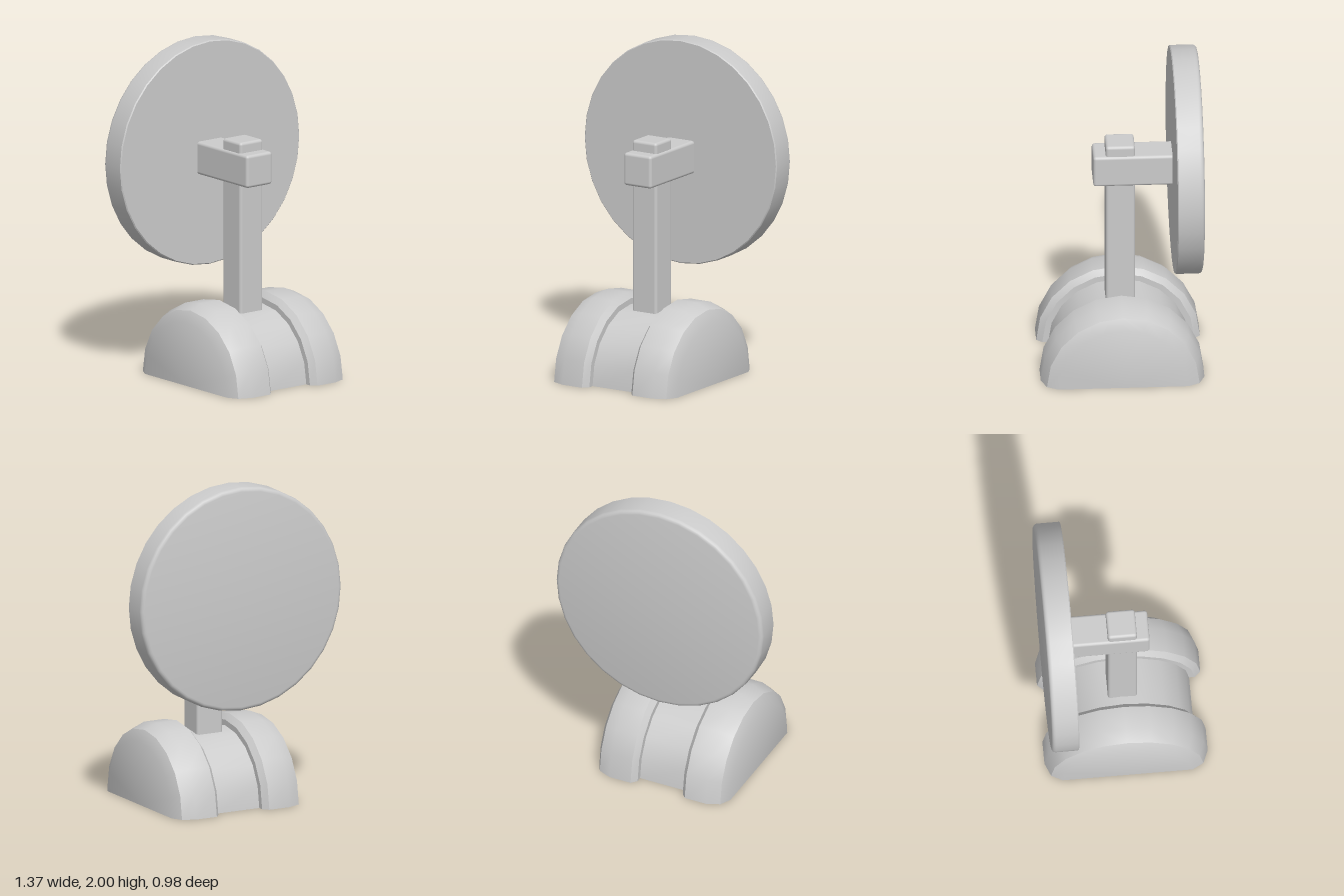
import * as THREE from 'three';
import { toCreasedNormals } from 'three/addons/utils/BufferGeometryUtils.js';
import { RoundedBoxGeometry } from 'three/addons/geometries/RoundedBoxGeometry.js';

const grey = new THREE.MeshStandardMaterial({ color: 0xcccccc });

function part(name, geometry, x = 0, y = 0, z = 0) {
  const mesh = new THREE.Mesh(geometry, grey);
  mesh.name = name;
  mesh.position.set(x, y, z);
  return mesh;
}

const toVectors = (points) => points.map(([r, h]) => new THREE.Vector2(r, h));

// Half-round base: [radius, x] profile turned half a revolution about x
function createBase() {
  const half = [
    [0.42, 0.15], [0.455, 0.15], [0.49, 0.18], [0.49, 0.32],
    [0.457, 0.40], [0.39, 0.435], [0, 0.435],
  ];
  const mirrored = half.map(([r, h]) => [r, -h]).reverse();
  const profile = [...mirrored, ...half];

  const shell = new THREE.LatheGeometry(toVectors(profile), 10, Math.PI, Math.PI);
  shell.rotateZ(-Math.PI / 2);

  // Flat underside follows the same profile on both sides of x
  const outline = [
    ...profile.map(([r, h]) => [h, r]),
    ...half.slice(0, -1).reverse().map(([r, h]) => [h, -r]),
    ...mirrored.slice(1).reverse().map(([r, h]) => [h, -r]),
  ];
  const underside = new THREE.ShapeGeometry(new THREE.Shape(toVectors(outline)));
  underside.rotateX(Math.PI / 2);

  const base = new THREE.Group();
  base.name = 'base';
  base.add(part('baseShell', toCreasedNormals(shell, 0.6)), part('baseUnderside', underside));
  return base;
}

// Round plate with a crisp front rim and a softened back rim
function createDisc() {
  const radius = 0.687, depth = 0.163, round = 0.025;
  const profile = [[0, 0], [radius - 0.006, 0], [radius, 0.006]];
  for (let i = 0; i <= 4; i++) {
    const a = (i / 4) * Math.PI / 2;
    profile.push([radius - round + round * Math.cos(a), depth - round + round * Math.sin(a)]);
  }
  profile.push([0, depth]);
  const disc = new THREE.LatheGeometry(toVectors(profile), 32);
  disc.rotateX(-Math.PI / 2);
  return part('disc', toCreasedNormals(disc, 0.6), 0, 1.313, -0.312);
}

export function createModel() {
  const model = new THREE.Group();
  model.name = 'discStand';
  model.add(
    createBase(),
    part('post', new RoundedBoxGeometry(0.175, 1.075, 0.175, 3, 0.018), 0, 0.9175, 0),
    part('arm', new RoundedBoxGeometry(0.196, 0.2, 0.51, 3, 0.018), 0, 1.291, -0.092),
    createDisc(),
  );
  return model;
}
